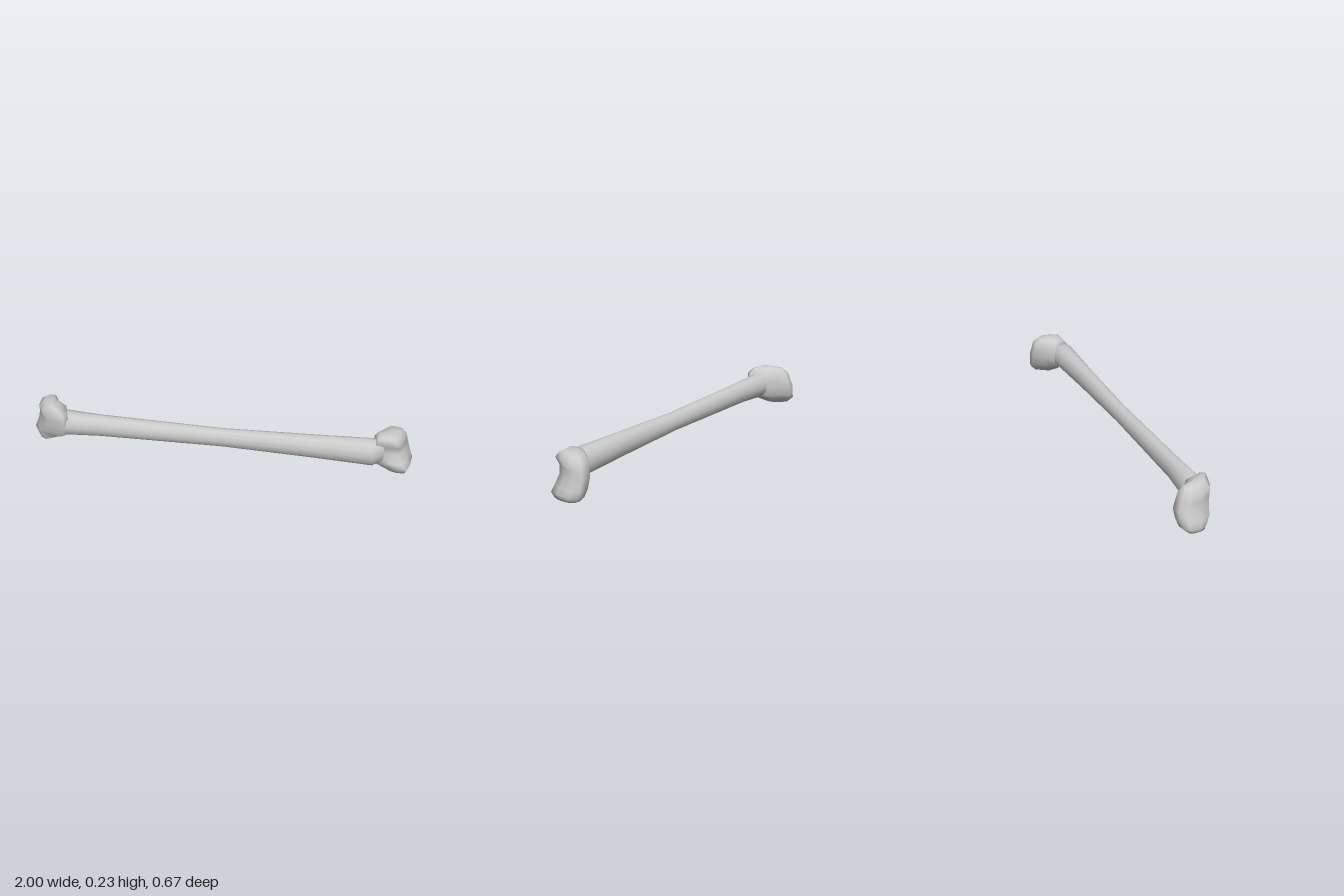
import * as THREE from 'three';

const material = new THREE.MeshStandardMaterial({ color: 0xcccccc });

// Skins a stack of equal-length rings of [x, y, z] and closes both ends.
function loft(name, rings) {
  const n = rings[0].length;
  const points = rings.flat();
  const index = [];
  for (let i = 0; i < rings.length - 1; i++) {
    for (let j = 0; j < n; j++) {
      const a = i * n + j, b = i * n + (j + 1) % n;
      index.push(a, a + n, b + n, a, b + n, b);
    }
  }
  const middle = (ring) => [0, 1, 2].map((k) => ring.reduce((s, p) => s + p[k], 0) / n);
  const start = points.push(middle(rings[0])) - 1;
  const end = points.push(middle(rings[rings.length - 1])) - 1;
  const last = (rings.length - 1) * n;
  for (let j = 0; j < n; j++) {
    const k = (j + 1) % n;
    index.push(start, j, k, end, last + k, last + j);
  }
  const geometry = new THREE.BufferGeometry();
  geometry.setAttribute('position', new THREE.Float32BufferAttribute(points.flat(), 3));
  geometry.setIndex(index);
  geometry.computeVertexNormals();
  const mesh = new THREE.Mesh(geometry, material);
  mesh.name = name;
  return mesh;
}

// Shaft: elliptical rings square to the slanting axis.
function shaft() {
  const sides = 12;
  // x, bottom, top, centre z, half width
  const stations = [
    [-0.89, 0.09, 0.17, -0.17, 0.035],
    [-0.82, 0.06, 0.2, -0.147, 0.06],
    [-0.64, 0.07, 0.195, -0.097, 0.045],
    [0, 0.08, 0.185, 0.07, 0.039],
    [0.45, 0.068, 0.2, 0.187, 0.047],
    [0.77, 0.058, 0.21, 0.27, 0.06],
    [0.83, 0.075, 0.19, 0.262, 0.04],
  ];
  return loft('shaft', stations.map(([x, y0, y1, z, w]) =>
    Array.from({ length: sides }, (_, j) => {
      const t = (j / sides) * Math.PI * 2;
      const dz = Math.cos(t) * w;
      return [x - 0.27 * dz, (y0 + y1) / 2 + Math.sin(t) * (y1 - y0) / 2, z + dz];
    })));
}

// Knob: a plan outline (0..1) fitted to the extents of each height level.
function knob(name, outline, levels) {
  return loft(name, levels.map(([y, x0, x1, z0, z1]) =>
    outline.map(([u, v]) => [x0 + u * (x1 - x0), y, z0 + v * (z1 - z0)])));
}

export function createModel() {
  const bone = new THREE.Group();
  bone.name = 'bone';
  bone.add(shaft());

  // levels: y, x min, x max, z min, z max
  bone.add(knob('leftKnob',
    [[0, 0.85], [0.05, 0.4], [0.3, 0.22], [0.64, 0], [0.9, 0.1], [1, 0.33], [0.82, 0.75], [0.64, 1], [0.36, 0.92]],
    [
      [0.0, 0.9, 0.95, 0.23, 0.3],
      [0.012, 0.87, 0.98, 0.175, 0.31],
      [0.04, 0.84, 1.0, 0.15, 0.327],
      [0.07, 0.79, 0.99, 0.145, 0.318],
      [0.125, 0.78, 0.975, 0.137, 0.297],
      [0.165, 0.775, 0.965, 0.145, 0.3],
      [0.2, 0.775, 0.955, 0.147, 0.325],
      [0.226, 0.79, 0.93, 0.175, 0.305],
      [0.234, 0.83, 0.89, 0.22, 0.285],
    ]));

  bone.add(knob('rightKnob',
    [[0.3, 0], [0.58, 0.02], [0.68, 0.25], [0.95, 0.49], [1, 0.92], [0.84, 1], [0.26, 0.75], [0.12, 0.66], [0, 0.37], [0.1, 0.1]],
    [
      [0.0, -0.975, -0.94, -0.26, -0.18],
      [0.012, -0.985, -0.915, -0.3, -0.165],
      [0.04, -1.0, -0.86, -0.33, -0.14],
      [0.07, -0.99, -0.82, -0.33, -0.1],
      [0.12, -0.972, -0.81, -0.335, -0.085],
      [0.16, -0.966, -0.81, -0.32, -0.082],
      [0.2, -0.967, -0.812, -0.307, -0.085],
      [0.225, -0.935, -0.845, -0.28, -0.11],
      [0.234, -0.91, -0.87, -0.21, -0.14],
    ]));

  return bone;
}
